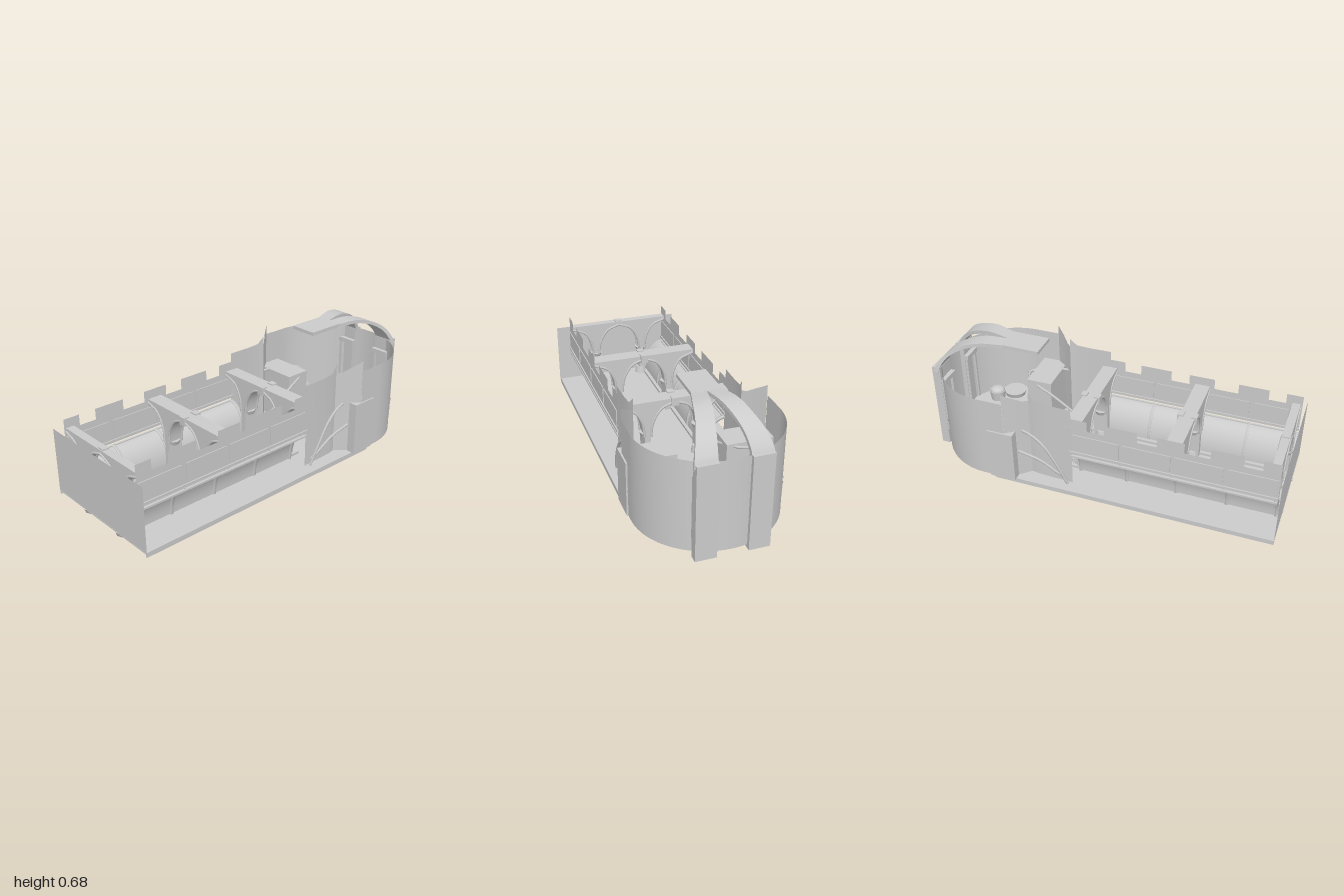
import * as THREE from 'three';

const mat = new THREE.MeshStandardMaterial({ color: 0xcccccc, side: THREE.DoubleSide });

export function createModel() {
  const root = new THREE.Group();
  const V = (x, y, z) => new THREE.Vector3(x, y, z);

  function add(name, geo, x = 0, y = 0, z = 0) {
    const m = new THREE.Mesh(geo, mat);
    m.name = name;
    m.position.set(x, y, z);
    root.add(m);
    return m;
  }
  // box given by its two opposite corners
  const block = (name, x0, x1, y0, y1, z0, z1) =>
    add(name, new THREE.BoxGeometry(Math.abs(x1 - x0), y1 - y0, Math.abs(z1 - z0)),
      (x0 + x1) / 2, (y0 + y1) / 2, (z0 + z1) / 2);

  // surface lofted across rows of points with equal counts
  function loft(name, rows) {
    const pos = [], idx = [], n = rows[0].length;
    rows.forEach((r) => r.forEach((p) => pos.push(p.x, p.y, p.z)));
    for (let i = 0; i < rows.length - 1; i++) {
      for (let j = 0; j < n - 1; j++) {
        const a = i * n + j, b = a + n;
        idx.push(a, b, a + 1, b, b + 1, a + 1);
      }
    }
    const g = new THREE.BufferGeometry();
    g.setAttribute('position', new THREE.Float32BufferAttribute(pos, 3));
    g.setIndex(idx);
    g.computeVertexNormals();
    return add(name, g);
  }
  // upright wall over plan points [x, z, bottom, top]
  const wall = (name, pts) => loft(name, pts.map(([x, z, b, t]) => [V(x, b, z), V(x, t, z)]));
  const tube = (name, pts, r) =>
    add(name, new THREE.TubeGeometry(new THREE.CatmullRomCurve3(pts), 32, r, 6, false));

  // Floor, its side skirts and the front wall
  block('naveFloor', -0.38, 0.38, 0.024, 0.03, -0.55, 1);
  wall('frontWall', [[-0.385, 0.999, 0.024, 0.387], [0.385, 0.999, 0.024, 0.387]]);

  // Plan of the rounded end, from one side to the other
  const apse = (grow, y0, y1) => {
    const p = [[0.385 + grow, -0.48, y0, y1]];
    for (let i = 0; i <= 40; i++) {
      const a = (Math.PI * i) / 40;
      p.push([(0.385 + grow) * Math.cos(a), -0.62 - (0.365 + grow) * Math.sin(a), y0, y1]);
    }
    p.push([-0.385 - grow, -0.48, y0, y1]);
    return p;
  };
  wall('apseWall', apse(0, 0.025, 0.518));
  for (const y of [0.168, 0.2]) wall('apseBand', apse(0.004, y, y + 0.007));
  const floorShape = new THREE.Shape(apse(0, 0, 0).map(([x, z]) => new THREE.Vector2(x, -z)));
  add('apseFloor', new THREE.ShapeGeometry(floorShape).rotateX(-Math.PI / 2), 0, 0.1, 0);

  // Round stools on the apse floor, some domed
  [[-0.18, -0.84, 0.045, 1], [-0.27, -0.69, 0.048, 1], [-0.185, -0.725, 0.037, 0],
    [0.2, -0.82, 0.048, 1], [0.28, -0.74, 0.068, 0]].forEach(([x, z, r, domed]) => {
    const h = domed ? 0.06 : 0.03;
    add('stool', new THREE.CylinderGeometry(r, r * 0.85, h, 24), x, 0.1 + h / 2, z);
    if (domed) {
      add('stoolCushion', new THREE.SphereGeometry(r, 24, 8, 0, Math.PI * 2, 0, Math.PI / 2)
        .scale(0.9, 0.5, 0.9), x, 0.16, z);
    }
  });

  // Battlement outline in z and y
  const merlons = [[0.98, 0.89], [0.795, 0.625], [0.49, 0.345], [0.24, 0.06], [-0.035, -0.125]];
  const parapet = new THREE.Shape();
  parapet.moveTo(0.98, 0.235);
  merlons.forEach(([a, b], i) => {
    if (i) parapet.lineTo(a, 0.4);
    parapet.lineTo(a, 0.46);
    parapet.lineTo(b, 0.46);
    if (i < 4) parapet.lineTo(b, 0.4);
  });
  parapet.lineTo(-0.125, 0.235);
  const parapetGeo = new THREE.ShapeGeometry(parapet).rotateY(-Math.PI / 2);

  // Quarter-round cross-section between the aisle floor and the side wall
  const cove = (s, z, d = 0) => Array.from({ length: 13 }, (_, i) => {
    const a = (i / 12) * Math.PI / 2;
    return V(s * (0.305 - (0.115 + d) * Math.cos(a)), 0.03 + (0.185 + d) * Math.sin(a), z);
  });

  for (const s of [1, -1]) {
    const side = s > 0 ? 'left' : 'right';
    wall(side + 'Skirt', [[s * 0.38, 1, 0.003, 0.03], [s * 0.38, -0.55, 0.003, 0.03], [s * 0.38, -0.59, 0.026, 0.03]]);

    // Side wall with ledge, raised panels and coved base
    add(side + 'Parapet', parapetGeo, s * 0.305, 0, 0);
    loft(side + 'Cove', [cove(s, 0.98), cove(s, -0.13)]);
    block(side + 'Ledge', s * 0.298, s * 0.312, 0.235, 0.25, -0.135, 0.98);
    block(side + 'LowerLedge', s * 0.298, s * 0.31, 0.21, 0.22, -0.135, 0.98);
    [[0.972, 0.72], [0.695, 0.44], [0.42, 0.16], [0.14, -0.115]].forEach(([a, b]) =>
      block(side + 'Panel', s * 0.3, s * 0.31, 0.262, 0.362, a, b));
    for (const z of [0.972, 0.708, 0.43, 0.15, -0.12]) {
      loft(side + 'CoveRib', [cove(s, z + 0.008), cove(s, z + 0.008, 0.008),
        cove(s, z - 0.008, 0.008), cove(s, z - 0.008), cove(s, z - 0.008, -0.008),
        cove(s, z + 0.008, -0.008), cove(s, z + 0.008)]);
    }
    block(side + 'Kerb', s * 0.165, s * 0.185, 0.03, 0.045, -0.2, 0.95);

    // High wall from the nave to the apse, with two broken peaks
    wall(side + 'ShoulderWall', [[s * 0.305, -0.125, 0.03, 0.512], [s * 0.302, -0.25, 0.03, 0.512],
      [s * 0.298, -0.33, 0.03, 0.518], [s * 0.29, -0.37, 0.03, 0.558]]);
    wall(side + 'FlareWall', [[s * 0.29, -0.37, 0.03, 0.508], [s * 0.31, -0.392, 0.03, 0.51],
      [s * 0.345, -0.43, 0.03, 0.54], [s * 0.383, -0.48, 0.03, 0.575]]);
    block(side + 'SideBlock', s * 0.13, s * 0.394, 0.025, 0.33, -0.58, -0.43);

    // Curved ribs springing beside the side blocks
    tube(side + 'LongRib', [V(s * 0.322, 0.01, -0.14), V(s * 0.335, 0.15, -0.2), V(s * 0.335, 0.27, -0.28),
      V(s * 0.32, 0.32, -0.38), V(s * 0.29, 0.315, -0.55), V(s * 0.23, 0.315, -0.61),
      V(s * 0.15, 0.31, -0.55), V(s * 0.11, 0.26, -0.4), V(s * 0.12, 0.14, -0.25), V(s * 0.14, 0.03, -0.18)], 0.008);
    tube(side + 'ShortRib', [V(s * 0.27, 0.01, -0.14), V(s * 0.315, 0.08, -0.2),
      V(s * 0.335, 0.16, -0.3), V(s * 0.345, 0.2, -0.42)], 0.008);

    // Buttress with framed inner face and capital
    block(side + 'Buttress', s * 0.08, s * 0.19, 0.004, 0.52, -0.998, -0.95);
    for (const x of [0.083, 0.175]) block(side + 'ButtressFrame', s * x, s * (x + 0.013), 0.1, 0.44, -0.95, -0.935);
    block(side + 'Capital', s * 0.076, s * 0.186, 0.42, 0.446, -0.95, -0.925);

    // Crown rib sweeping from the buttress to the middle: [inner x, outer x, y, z]
    const keys = [[0.08, 0.195, 0.5, -0.985], [0.078, 0.188, 0.545, -0.965], [0.065, 0.165, 0.61, -0.91],
      [0.045, 0.137, 0.655, -0.83], [0.022, 0.112, 0.68, -0.73], [0, 0.078, 0.675, -0.61]];
    const path = (dx, dy) => new THREE.CatmullRomCurve3(keys.map(([a, b, y, z]) =>
      V(s * (dx ? b : a), y - dy, z + dy * Math.max(0, (0.68 - y) / 0.18)))).getPoints(24);
    const edges = [path(0, 0), path(1, 0), path(1, 0.02), path(0, 0.02)];
    edges.forEach((e, i) => loft(side + 'CrownRib', [e, edges[(i + 1) % 4]]));
  }
  block('crownTongue', -0.077, 0.077, 0.657, 0.676, -0.62, -0.4);

  // Cross arches: spandrels between the middle arch and the two half arches
  const half = new THREE.Shape();
  half.moveTo(0, 0.41);
  half.lineTo(0.305, 0.41);
  half.lineTo(0.305, 0.392);
  half.bezierCurveTo(0.23, 0.385, 0.175, 0.32, 0.17, 0.2);
  half.lineTo(0.17, 0.03);
  half.lineTo(0.135, 0.03);
  half.lineTo(0.135, 0.2);
  half.bezierCurveTo(0.13, 0.32, 0.08, 0.38, 0, 0.39);
  for (const [z0, z1] of [[0.925, 0.97], [0.38, 0.465], [-0.17, -0.085]]) {
    const zm = (z0 + z1) / 2;
    for (const s of [1, -1]) {
      const g = new THREE.ExtrudeGeometry(half, { depth: z1 - z0, bevelEnabled: false, curveSegments: 14 });
      if (s < 0) g.rotateY(Math.PI).translate(0, 0, z1 - z0);
      add('crossArch', g, 0, 0, z0);
      add('columnFoot', new THREE.CylinderGeometry(0.058, 0.05, 0.022, 8), s * 0.138, 0.014, zm);
      add('columnBase', new THREE.CylinderGeometry(0.03, 0.04, 0.04, 8), s * 0.15, 0.05, zm);
      add('columnCapital', new THREE.CylinderGeometry(0.038, 0.028, 0.025, 8), s * 0.15, 0.2, zm);
      for (const z of [z0, z1]) {
        tube('archMoulding', [V(s * 0.135, 0.2, z), V(s * 0.122, 0.285, z), V(s * 0.075, 0.36, z), V(0, 0.392, z)], 0.007);
        tube('halfArchMoulding', [V(s * 0.17, 0.2, z), V(s * 0.183, 0.29, z), V(s * 0.225, 0.36, z), V(s * 0.303, 0.392, z)], 0.007);
      }
    }
    for (const z of z1 - z0 > 0.06 ? [z0 + 0.005, z1 - 0.005] : [zm]) {
      block('keystone', -0.02, 0.02, 0.37, 0.417, z - 0.017, z + 0.017);
    }
  }
  return root;
}
